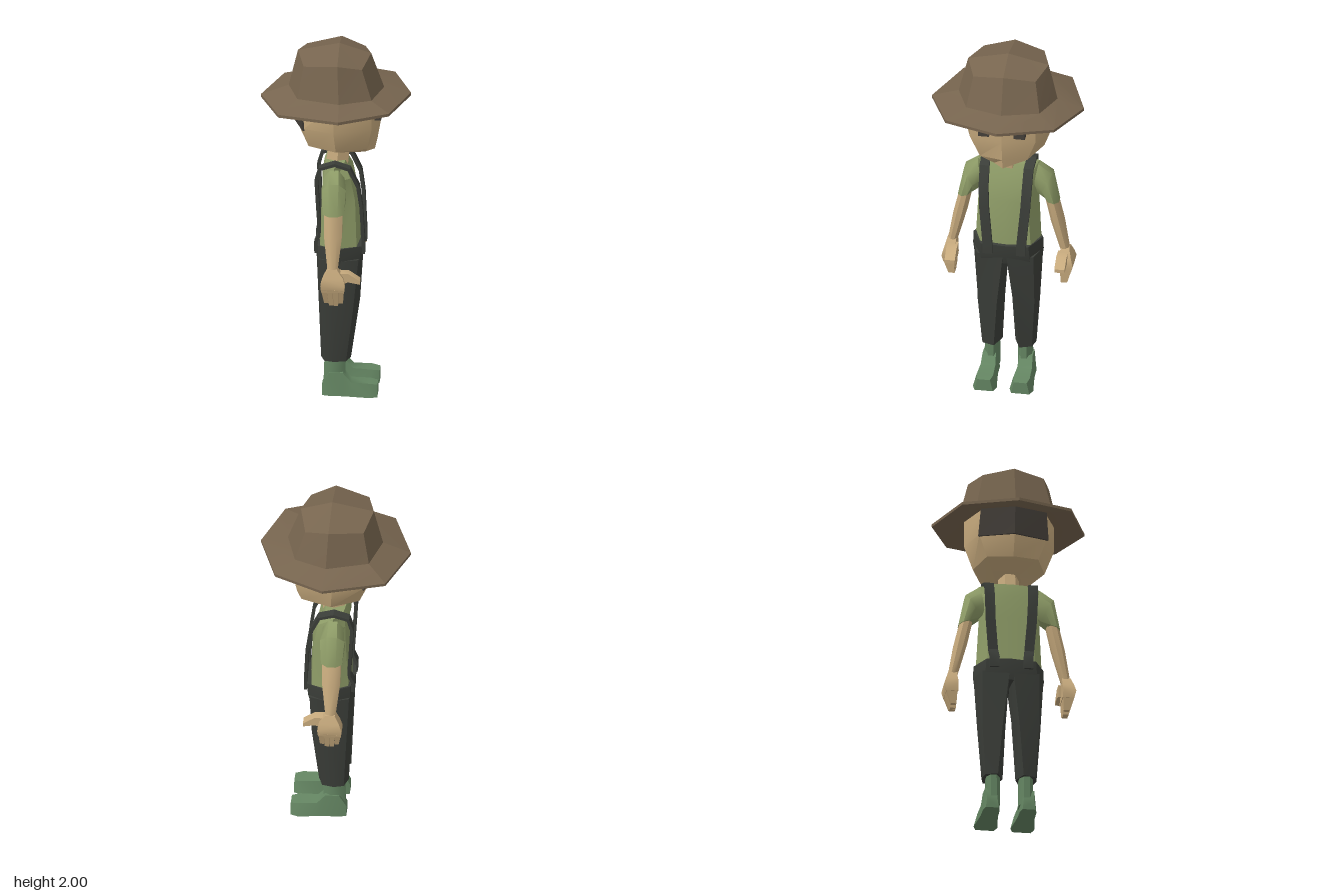
import * as THREE from 'three';
import { toCreasedNormals } from 'three/addons/utils/BufferGeometryUtils.js';

const mat = (color) => new THREE.MeshStandardMaterial({ color });
const M = {
  hat: mat(0x77654f), skin: mat(0xc8ab7e), hair: mat(0x45403a), shirt: mat(0x8f9d68),
  cloth: mat(0x3b3e39), boot: mat(0x648562),
};

// Closed skin over rings of [x, y, z] points, turned to face outwards
function loft(name, material, rings, crease = 0.45) {
  const tris = [];
  const n = rings[0].length;
  const V = rings.map((r) => r.map((p) => new THREE.Vector3(...p)));
  const add = (a, b, c) => {
    const area = b.clone().sub(a).cross(c.clone().sub(a)).length();
    if (area > 1e-7) tris.push([a, b, c]);
  };
  for (let i = 0; i < V.length - 1; i++) {
    for (let j = 0; j < n; j++) {
      const k = (j + 1) % n;
      add(V[i][j], V[i][k], V[i + 1][j]);
      add(V[i][k], V[i + 1][k], V[i + 1][j]);
    }
  }
  const cap = (ring, flip) => {
    const c = ring.reduce((s, p) => s.add(p), new THREE.Vector3()).divideScalar(n);
    ring.forEach((p, j) => {
      const q = ring[(j + 1) % n];
      flip ? add(c, q, p) : add(c, p, q);
    });
  };
  cap(V[0], true);
  cap(V[V.length - 1], false);
  const volume = tris.reduce((s, [a, b, c]) => s + a.dot(b.clone().cross(c)), 0);
  const pts = tris.flatMap(([a, b, c]) => (volume < 0 ? [a, c, b] : [a, b, c]));
  const geo = new THREE.BufferGeometry().setFromPoints(pts);
  const mesh = new THREE.Mesh(toCreasedNormals(geo, crease), material);
  mesh.name = name;
  return mesh;
}

// Full ring from its z >= 0 half, listed from front (+x) to back
const mirror = (half) => [
  ...half,
  ...half.slice(1, -1).reverse().map(([x, y, z]) => [x, y, -z]),
];
// Half ring of [x, z] points at one height
const level = (y, half) => mirror(half.map(([x, z]) => [x, y, z]));

function oval(cx, cy, cz, rx, ry, rz, n = 8) {
  return Array.from({ length: n }, (_, i) => {
    const a = ((i + 0.5) / n) * Math.PI * 2;
    return [cx + rx * Math.cos(a), cy + ry * Math.sin(a), cz + rz * Math.sin(a)];
  });
}
const rect = (y, x0, x1, z0, z1) => [[x0, y, z0], [x1, y, z0], [x1, y, z1], [x0, y, z1]];

function hat() {
  const brim = [[0.405, 0], [0.302, 0.297], [0.035, 0.415], [-0.295, 0.297], [-0.405, 0]];
  const brimAt = (y) => mirror(brim.map(([x, z]) => [x, y + 0.035 * x, z]));
  const base = [[0.26, 0], [0.203, 0.2], [0.03, 0.27], [-0.197, 0.2], [-0.255, 0]];
  return loft('hat', M.hat, [
    level(1.715, base),
    brimAt(1.69),
    brimAt(1.706),
    level(1.75, base),
    mirror([[0.19, 1.945, 0], [0.15, 1.915, 0.17], [0.02, 1.95, 0.22], [-0.165, 1.925, 0.165], [-0.205, 1.955, 0]]),
    level(2.0, base.map(() => [0.02, 0])),
  ], 0.2);
}

function head() {
  const g = new THREE.Group();
  g.name = 'head';
  g.add(loft('skull', M.skin, [
    mirror([[0.21, 1.39, 0], [0.16, 1.392, 0.055], [0.02, 1.39, 0.07], [-0.04, 1.4, 0.05], [-0.06, 1.408, 0]]),
    mirror([[0.224, 1.45, 0], [0.175, 1.437, 0.13], [0.01, 1.44, 0.195], [-0.14, 1.453, 0.14], [-0.172, 1.45, 0]]),
    level(1.57, [[0.245, 0], [0.202, 0.18], [0, 0.245], [-0.165, 0.185], [-0.225, 0]]),
    level(1.73, [[0.25, 0], [0.205, 0.18], [0, 0.245], [-0.18, 0.17], [-0.235, 0]]),
  ]));
  g.add(loft('hair', M.hair, [
    level(1.56, [[-0.08, 0], [-0.1, 0.14], [-0.168, 0.192], [-0.232, 0]]),
    level(1.73, [[-0.08, 0], [-0.1, 0.14], [-0.186, 0.178], [-0.242, 0]]),
  ]));
  for (const s of [1, -1]) {
    const eye = new THREE.Mesh(new THREE.BoxGeometry(0.042, 0.055, 0.06), M.hair);
    eye.name = 'eye';
    eye.position.set(0.23, 1.633, 0.098 * s);
    g.add(eye);
  }
  g.add(loft('neck', M.skin, [oval(0.005, 1.3, 0, 0.07, 0, 0.06, 6), oval(0.02, 1.42, 0, 0.065, 0, 0.055, 6)]));
  return g;
}

function torso() {
  return loft('shirt', M.shirt, [
    level(0.84, [[0.135, 0], [0.12, 0.14], [0.01, 0.18], [-0.08, 0.13], [-0.09, 0]]),
    level(1.13, [[0.125, 0], [0.11, 0.12], [0, 0.165], [-0.065, 0.12], [-0.075, 0]]),
    level(1.26, [[0.09, 0], [0.085, 0.12], [0, 0.185], [-0.062, 0.12], [-0.072, 0]]),
    level(1.335, [[0.055, 0], [0.05, 0.09], [0, 0.165], [-0.05, 0.09], [-0.06, 0]]),
  ]);
}

// Brace running from the front waistband over the shoulder to the back
function brace(s) {
  const path = [[0.163, 0.82, 0.092], [0.163, 0.88, 0.092], [0.152, 1.1, 0.112], [0.135, 1.22, 0.118],
    [0.085, 1.325, 0.12], [0, 1.355, 0.125], [-0.085, 1.325, 0.12], [-0.108, 1.25, 0.118],
    [-0.1, 1.1, 0.112], [-0.09, 0.93, 0.098], [-0.112, 0.88, 0.092], [-0.11, 0.82, 0.092]];
  const t = 0.018, w = 0.026;
  return loft('brace', M.cloth, path.map(([x, y, z], i) => {
    const a = path[Math.max(i - 1, 0)], b = path[Math.min(i + 1, path.length - 1)];
    const l = Math.hypot(b[0] - a[0], b[1] - a[1]);
    const nx = (-(b[1] - a[1]) / l) * t, ny = ((b[0] - a[0]) / l) * t;
    return [[x, y, (z - w) * s], [x, y, (z + w) * s], [x + nx, y + ny, (z + w) * s], [x + nx, y + ny, (z - w) * s]];
  }));
}

function hips() {
  return loft('waistband', M.cloth, [
    level(0.75, [[0.135, 0], [0.125, 0.13], [0.02, 0.186], [-0.08, 0.14], [-0.1, 0]]),
    level(0.8, [[0.15, 0], [0.138, 0.135], [0.02, 0.193], [-0.088, 0.14], [-0.108, 0]]),
    level(0.87, [[0.155, 0], [0.145, 0.13], [0.02, 0.19], [-0.09, 0.135], [-0.11, 0]]),
  ]);
}

// Limb parts for the +z side; side() mirrors them
function leg() {
  const ring = (y, pts) => pts.map(([x, z]) => [x, y, z]);
  const trouser = [
    ring(0.2, [[0.085, 0.07], [0.062, 0.135], [0, 0.15], [-0.055, 0.135], [-0.076, 0.07], [0, 0.035]]),
    ring(0.5, [[0.128, 0.045], [0.1, 0.155], [0.01, 0.172], [-0.07, 0.155], [-0.09, 0.045], [0.015, 0.018]]),
    ring(0.8, [[0.148, 0.01], [0.13, 0.155], [0.02, 0.19], [-0.085, 0.155], [-0.105, 0.01], [0.02, 0]]),
  ];
  const shaft = [oval(-0.002, 0.04, 0.09, 0.065, 0, 0.042), oval(0, 0.23, 0.09, 0.06, 0, 0.04)];
  // x, height, half width at sole, half width on top
  const foot = [[-0.068, 0.06, 0.035, 0.028], [-0.03, 0.13, 0.045, 0.034], [0.045, 0.13, 0.047, 0.036],
    [0.09, 0.08, 0.052, 0.04], [0.19, 0.075, 0.065, 0.045], [0.232, 0.068, 0.05, 0.035]]
    .map(([x, h, w, v]) => [[x, 0, 0.1 - w], [x, 0, 0.1 + w], [x, h, 0.1 + v], [x, h, 0.1 - v]]);
  return [['trouserLeg', M.cloth, trouser], ['bootShaft', M.boot, shaft], ['bootFoot', M.boot, foot]];
}

function arm() {
  const parts = [
    ['sleeve', M.shirt, [oval(0, 1.245, 0.15, 0.06, 0.085, 0.015), oval(0, 1.205, 0.205, 0.072, 0.07, 0.038),
      oval(0, 1.105, 0.238, 0.062, -0.01, 0.041)]],
    ['forearm', M.skin, [oval(0, 1.13, 0.232, 0.055, 0, 0.036), oval(0, 0.98, 0.266, 0.052, 0, 0.038),
      oval(0, 0.79, 0.309, 0.028, 0, 0.027)]],
    ['palm', M.skin, [rect(0.812, -0.025, 0.025, 0.285, 0.333), rect(0.765, -0.05, 0.06, 0.285, 0.348),
      rect(0.725, -0.064, 0.068, 0.287, 0.358), rect(0.685, -0.06, 0.064, 0.285, 0.348)]],
    ['thumb', M.skin, [[0.02, 0.755, 0.05], [0.085, 0.765, 0.035], [0.148, 0.738, 0.014]].map(([x, y, r]) =>
      oval(x, y, 0.3, 0, r, 0, 4).map((p, i) => [p[0], p[1], 0.3 + (i === 0 || i === 3 ? 0.028 : -0.028)]))],
  ];
  for (let i = 0; i < 4; i++) {
    const x = -0.06 + i * 0.031, tip = -0.045 + i * 0.026, drop = i % 3 ? 0.6 : 0.615;
    parts.push(['finger', M.skin, [rect(0.7, x, x + 0.029, 0.287, 0.352), rect(drop, tip, tip + 0.023, 0.292, 0.322)]]);
  }
  return parts;
}

function side(name, parts, s) {
  const g = new THREE.Group();
  g.name = name;
  for (const [part, material, rings] of parts) {
    g.add(loft(part, material, rings.map((r) => r.map(([x, y, z]) => [x, y, z * s])), 0.8));
  }
  return g;
}

export function createModel() {
  const model = new THREE.Group();
  model.name = 'farmer';
  model.add(hat(), head(), torso(), hips());
  for (const s of [1, -1]) model.add(brace(s), side('leg', leg(), s), side('arm', arm(), s));
  return model;
}
